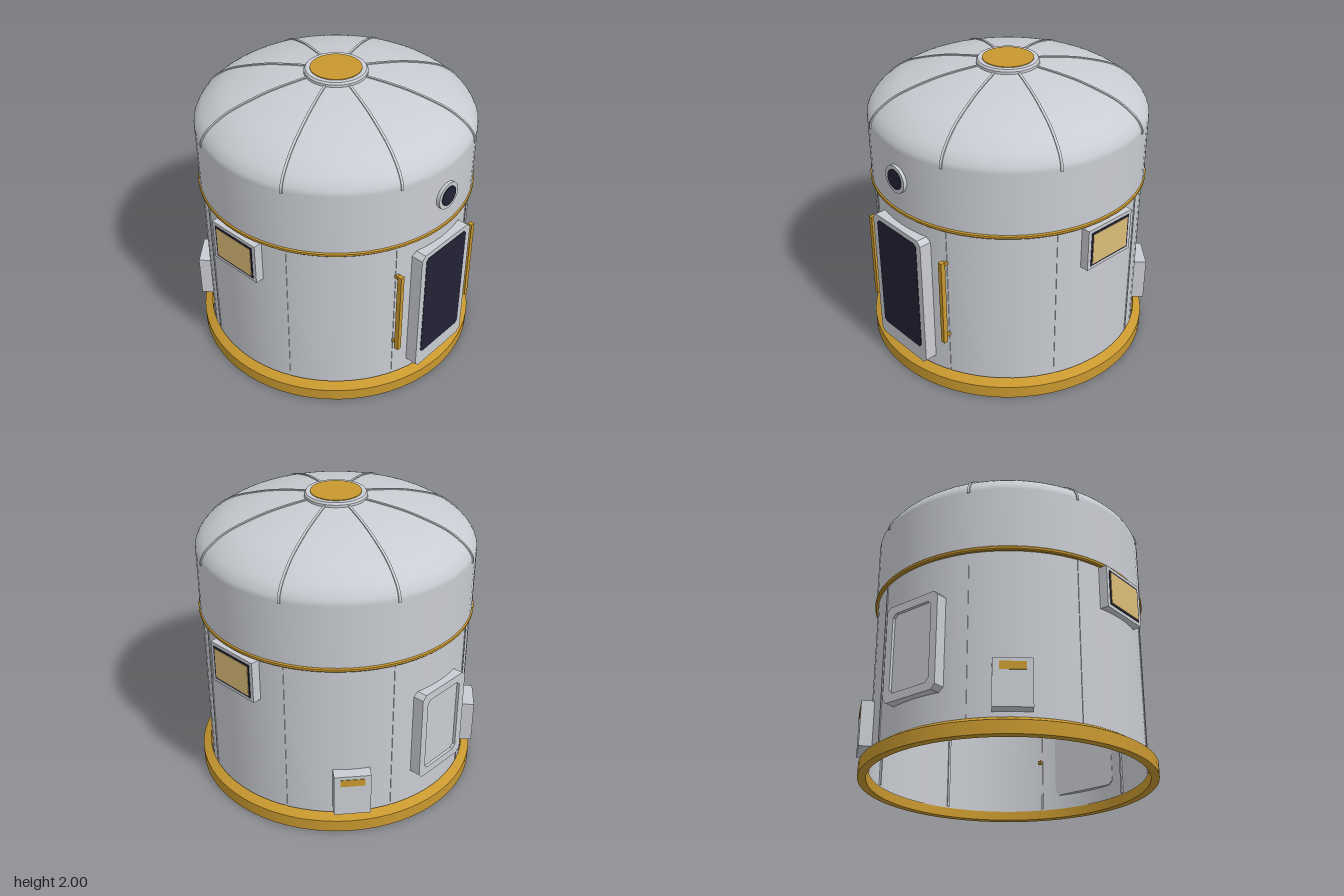
import * as THREE from 'three';
import { toCreasedNormals } from 'three/addons/utils/BufferGeometryUtils.js';

const mat = (name, color, side = THREE.FrontSide) => {
  const m = new THREE.MeshStandardMaterial({ color, side });
  m.name = name;
  return m;
};

export function createModel() {
  const grey = mat('hull grey', 0xc9ccd2, THREE.DoubleSide);
  const gold = mat('gold trim', 0xc8982f);
  const dark = mat('dark glass', 0x222236);
  const cream = mat('lit window', 0xdcbc78);

  const model = new THREE.Group();
  model.name = 'habitatModule';

  const add = (parent, name, geometry, material, x = 0, y = 0, z = 0) => {
    const mesh = new THREE.Mesh(geometry, material);
    mesh.name = name;
    mesh.position.set(x, y, z);
    parent.add(mesh);
    return mesh;
  };
  const mount = (name, angle) => {
    const g = new THREE.Group();
    g.name = name;
    g.rotation.y = angle;
    model.add(g);
    return g;
  };
  const v = (x, y) => new THREE.Vector2(x, y);
  const lathe = (pts, crease = 0.5) =>
    toCreasedNormals(new THREE.LatheGeometry(pts.map(p => v(...p)), 72), crease);

  // Rectangle with clipped corners, spanning y0..y1
  const clipped = (w, y0, y1, c, Type = THREE.Shape) => new Type([
    v(-w + c, y0), v(w - c, y0), v(w, y0 + c), v(w, y1 - c),
    v(w - c, y1), v(-w + c, y1), v(-w, y1 - c), v(-w, y0 + c)]);
  const plate = (shape, depth) =>
    new THREE.ExtrudeGeometry(shape, { depth, bevelEnabled: false });

  // Base ring, wall and trim
  add(model, 'baseRing', lathe([[0.915, 0], [0.97, 0], [0.97, 0.085], [0.915, 0.12], [0.915, 0]]), gold);
  add(model, 'wall', lathe([[0.905, 0.06], [0.905, 1.23]]), grey);
  add(model, 'trimRing', lathe([[0.9, 1.21], [0.918, 1.21], [0.926, 1.218],
    [0.926, 1.232], [0.918, 1.24], [0.9, 1.24]]), gold);

  // Upper drum and dome
  const domeCurve = new THREE.SplineCurve([[0.918, 1.64], [0.912, 1.69], [0.86, 1.76], [0.73, 1.845],
    [0.517, 1.914], [0.36, 1.945], [0.19, 1.967]].map(p => v(...p)));
  const domePts = domeCurve.getPoints(28);
  add(model, 'dome', lathe([[0.918, 1.23], ...domePts.map(p => [p.x, p.y]), [0, 1.975]], 0.7), grey);

  // Top collar and cap
  add(model, 'collar', lathe([[0.205, 1.955], [0.205, 1.982], [0.195, 1.995], [0.165, 1.995]]), grey);
  add(model, 'topCap', new THREE.CylinderGeometry(0.166, 0.166, 0.03, 48), gold, 0, 1.985, 0);

  // Dome ribs follow the dome profile; wall seams sit below them
  const outer = [], inner = [];
  for (let i = 0; i <= 24; i++) {
    const t = 0.04 + 0.96 * i / 24;
    const p = domeCurve.getPoint(t), d = domeCurve.getTangent(t);
    outer.push(v(p.x + d.y * 0.007, p.y - d.x * 0.007));
    inner.unshift(v(p.x - d.y * 0.01, p.y + d.x * 0.01));
  }
  const ribGeo = plate(new THREE.Shape([...outer, ...inner]), 0.016);
  ribGeo.translate(0, 0, -0.008);
  const seamGeo = new THREE.BoxGeometry(0.016, 1.14, 0.016);
  for (let k = 0; k < 8; k++) {
    const a = (k + 0.5) * Math.PI / 4;
    add(mount('ribMount', a), 'domeRib', ribGeo, grey);
    add(mount('seamMount', a), 'wallSeam', seamGeo, grey, 0, 0.64, 0.901);
  }

  // Front door with grab handles
  const door = mount('door', 0);
  add(door, 'doorFrame', plate(clipped(0.245, 0.16, 1.12, 0.03), 0.085), grey, 0, 0, 0.868);
  add(door, 'doorPanel', plate(clipped(0.202, 0.27, 1.085, 0.02), 0.006), dark, 0, 0, 0.95);
  for (const s of [-1, 1]) {
    add(door, 'handleBar', new THREE.BoxGeometry(0.03, 0.62, 0.032), gold, s * 0.363, 0.695, 0.884);
    for (const y of [0.42, 0.975])
      add(door, 'handleBracket', new THREE.BoxGeometry(0.024, 0.024, 0.07), gold, s * 0.348, y, 0.842);
  }

  // Porthole above the door
  const disc = (r, depth) => new THREE.CylinderGeometry(r, r, depth, 32).rotateX(Math.PI / 2);
  add(door, 'portholeRim', disc(0.093, 0.05), grey, 0, 1.46, 0.912);
  add(door, 'portholeGlass', disc(0.068, 0.006), dark, 0, 1.46, 0.938);

  // Side windows
  for (const s of [-1, 1]) {
    const w = mount('sideWindow', s * Math.PI / 2);
    add(w, 'windowFrame', new THREE.BoxGeometry(0.385, 0.29, 0.065), grey, 0, 1.06, 0.91);
    add(w, 'windowBorder', new THREE.BoxGeometry(0.333, 0.242, 0.006), dark, 0, 1.06, 0.943);
    add(w, 'windowPane', new THREE.BoxGeometry(0.308, 0.216, 0.006), cream, 0, 1.06, 0.946);
  }

  // Rear hatch: frame with a recessed panel
  const hatch = mount('rearHatch', Math.PI);
  const frame = clipped(0.213, 0.31, 0.955, 0.03);
  frame.holes.push(clipped(0.16, 0.365, 0.9, 0.025, THREE.Path));
  add(hatch, 'hatchFrame', plate(frame, 0.08), grey, 0, 0, 0.875);
  add(hatch, 'hatchPanel', plate(clipped(0.165, 0.36, 0.905, 0.025), 0.06), grey, 0, 0, 0.875);

  // Equipment boxes on the rear quarters
  for (const s of [-1, 1]) {
    const b = mount('equipmentBox', Math.PI + s * 40 * Math.PI / 180);
    add(b, 'boxBody', new THREE.BoxGeometry(0.24, 0.305, 0.1), grey, 0, 0.308, 0.93);
    add(b, 'boxLabelPlate', new THREE.BoxGeometry(0.16, 0.052, 0.006), gold, 0, 0.41, 0.98);
  }
  return model;
}
